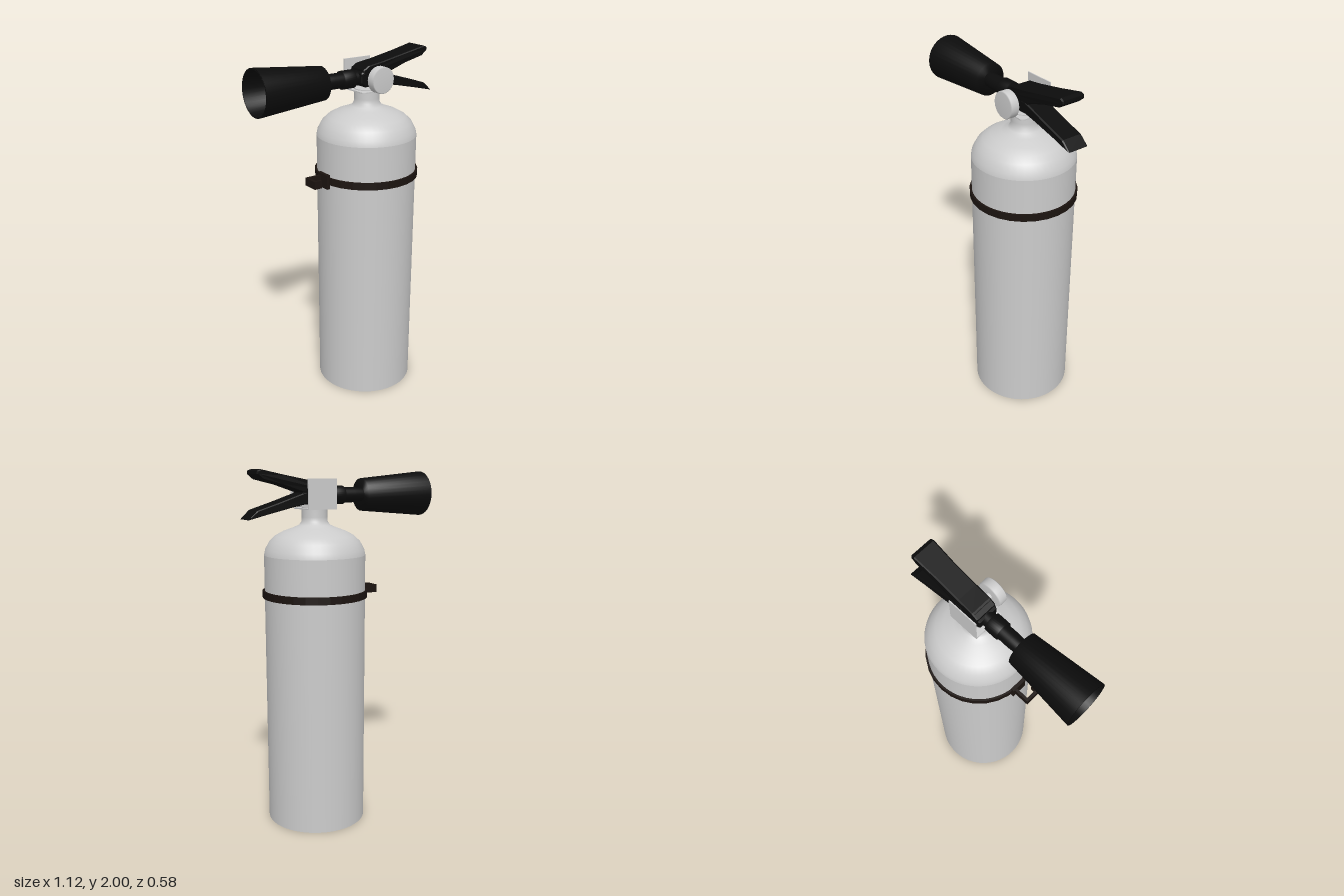
import * as THREE from 'three';

const grey = new THREE.MeshStandardMaterial({ color: 0xcccccc });
const black = new THREE.MeshStandardMaterial({ color: 0x0c0c0c, side: THREE.DoubleSide });
const strap = new THREE.MeshStandardMaterial({ color: 0x1c1410 });
const CX = 0.14, AXIS_Y = 1.86;

const vecs = (pts) => pts.map(([x, y]) => new THREE.Vector2(x, y));

export function createModel() {
  const root = new THREE.Group();

  const add = (name, geometry, material, x = 0, y = 0, z = 0) => {
    const mesh = new THREE.Mesh(geometry, material);
    mesh.name = name;
    mesh.position.set(x, y, z);
    root.add(mesh);
    return mesh;
  };
  const box = (name, mat, w, h, d, x, y, z) => add(name, new THREE.BoxGeometry(w, h, d), mat, x, y, z);

  // Lathe whose profile is [radius, x], lying along the x axis
  const latheX = (name, pts, mat) => {
    const g = new THREE.LatheGeometry(vecs(pts), 32);
    g.rotateZ(-Math.PI / 2);
    return add(name, g, mat, 0, AXIS_Y, 0);
  };

  // Tank: straight wall, then a separate smooth shoulder and neck
  add('tankWall', new THREE.CylinderGeometry(0.28, 0.28, 1.54, 48), grey, CX, 0.77, 0);
  const shoulder = [[0.28, 1.54], [0.274, 1.57], [0.25, 1.614], [0.217, 1.645], [0.175, 1.668],
    [0.12, 1.688], [0.085, 1.703], [0.072, 1.722], [0.07, 1.745], [0.07, 1.8]];
  add('tankShoulder', new THREE.LatheGeometry(vecs(shoulder), 48), grey, CX);

  // Strap around the tank
  const ring = [[0.278, 1.305], [0.292, 1.305], [0.292, 1.345], [0.278, 1.345]];
  const band = new THREE.LatheGeometry(vecs(ring), 28).toNonIndexed();
  band.computeVertexNormals();
  add('strapBand', band, strap, CX);

  // Buckle and hose hook on the strap
  box('strapBuckle', strap, 0.02, 0.08, 0.09, -0.15, 1.32, 0);
  box('hookStem', strap, 0.1, 0.044, 0.016, -0.2, 1.325, -0.025);
  box('hookBack', strap, 0.016, 0.044, 0.09, -0.242, 1.325, 0.012);
  box('hookTip', strap, 0.045, 0.044, 0.016, -0.2275, 1.325, 0.052);

  // Thin angled bracket: rounded floor plate and upright back plate
  const floor = new THREE.Shape();
  floor.moveTo(-0.088, 0.094);
  floor.lineTo(-0.088, -0.065);
  floor.quadraticCurveTo(-0.088, -0.085, -0.068, -0.085);
  floor.lineTo(0.068, -0.085);
  floor.quadraticCurveTo(0.088, -0.085, 0.088, -0.065);
  floor.lineTo(0.088, 0.094);
  const floorGeo = new THREE.ExtrudeGeometry(floor, { depth: 0.007, bevelEnabled: false });
  floorGeo.rotateX(-Math.PI / 2);
  add('bracketFloor', floorGeo, grey, CX, 1.788, 0);
  box('bracketBack', grey, 0.176, 0.162, 0.006, CX, 1.87, -0.092);

  // Pressure gauge on a short stem, facing forward
  const gauge = [[0, 0.09], [0.067, 0.09], [0.072, 0.095], [0.072, 0.137], [0.067, 0.142], [0, 0.142]];
  const gaugeGeo = new THREE.LatheGeometry(vecs(gauge), 32).rotateX(Math.PI / 2);
  add('gauge', gaugeGeo, grey, CX + 0.005, AXIS_Y, 0);
  const stemGeo = new THREE.CylinderGeometry(0.02, 0.02, 0.1, 16).rotateX(Math.PI / 2);
  add('gaugeStem', stemGeo, grey, CX + 0.005, AXIS_Y, 0.045);

  // Levers and valve body: side outlines extruded across z
  const lever = (name, pts, halfWidth, flare = 0) => {
    const g = new THREE.ExtrudeGeometry(new THREE.Shape(vecs(pts)), {
      depth: 2 * halfWidth - 0.012, bevelThickness: 0.006, bevelSize: 0.005, bevelOffset: -0.005, bevelSegments: 1,
    });
    g.translate(0, 0, 0.006 - halfWidth);
    // widen gently toward the grip end
    const p = g.attributes.position;
    for (let i = 0; i < p.count; i++) {
      const t = THREE.MathUtils.clamp((p.getX(i) - 0.35) / 0.13, 0, 1);
      p.setZ(i, p.getZ(i) * (1 + flare * t));
    }
    g.computeVertexNormals();
    return add(name, g, black);
  };
  lever('upperLever', [[0.07, 1.88], [0.24, 1.88], [0.36, 1.92], [0.475, 1.948], [0.508, 1.975],
    [0.506, 1.992], [0.485, 2.0], [0.35, 1.972], [0.2, 1.943], [0.11, 1.93], [0.075, 1.91]], 0.061, 0.1);
  lever('lowerLever', [[0.18, 1.825], [0.3, 1.802], [0.45, 1.768], [0.555, 1.743],
    [0.505, 1.79], [0.38, 1.828], [0.22, 1.88], [0.18, 1.88]], 0.06);
  lever('valveBody', [[0.062, 1.84], [0.09, 1.815], [0.21, 1.815], [0.24, 1.84], [0.24, 1.89],
    [0.2, 1.925], [0.1, 1.925], [0.062, 1.89]], 0.058);

  // Discharge pipe, collar and hollow horn
  latheX('pipe', [[0.036, -0.18], [0.042, -0.1], [0.04, 0.09]], black);
  latheX('collar', [[0.036, -0.035], [0.05, -0.035], [0.05, 0.038], [0.036, 0.038]], black);
  latheX('horn', [[0, -0.18], [0.078, -0.18], [0.117, -0.56], [0.126, -0.56], [0.09, -0.158], [0, -0.158]], black);

  return root;
}
